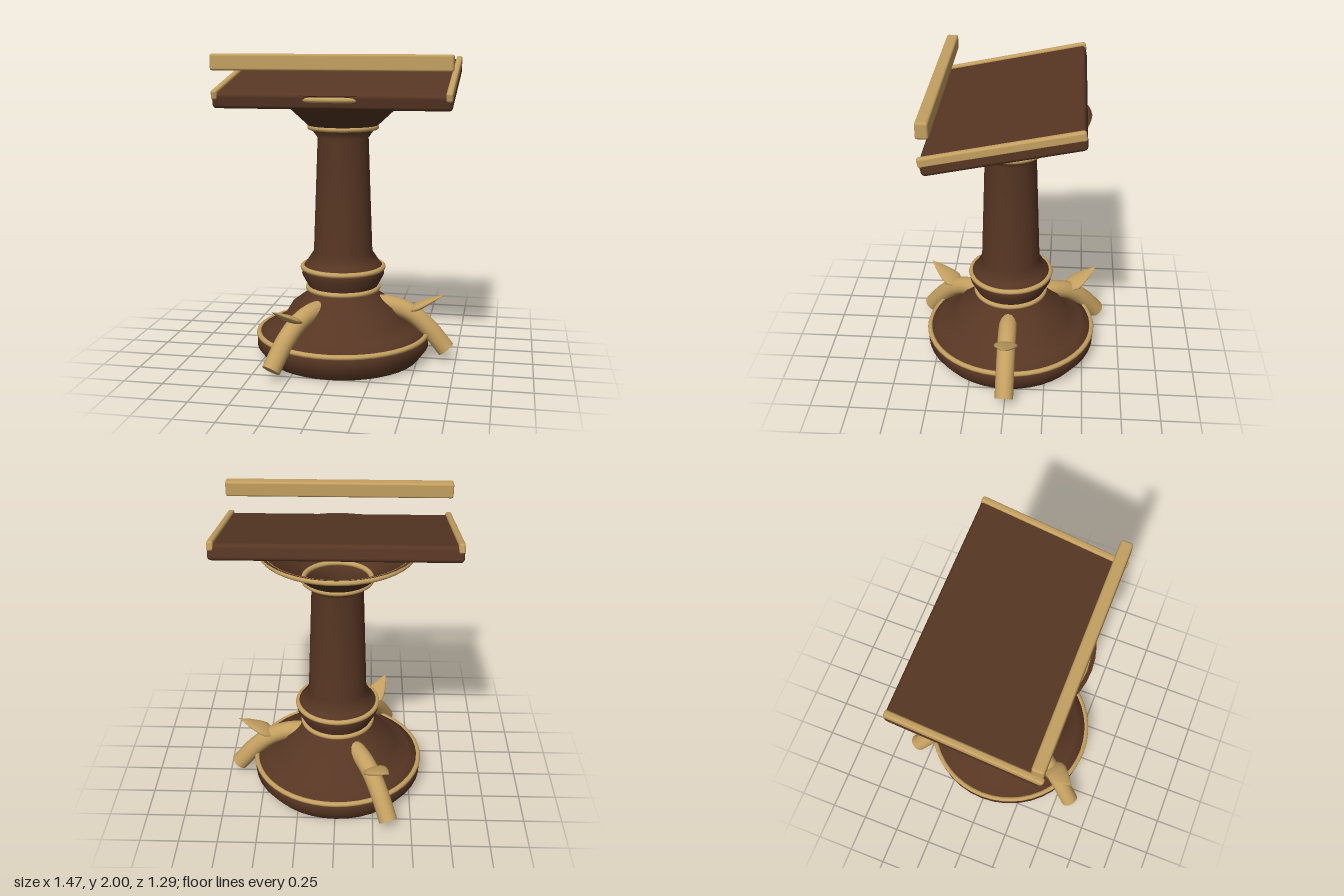
import * as THREE from 'three';
import { RoundedBoxGeometry } from 'three/addons/geometries/RoundedBoxGeometry.js';

export function createModel() {
  const model = new THREE.Group();
  const darkWood = new THREE.MeshStandardMaterial({ color: 0x573623, side: THREE.DoubleSide });
  const paleGold = new THREE.MeshStandardMaterial({ color: 0xc4a060 });

  const add = (parent, name, geometry, material, x = 0, y = 0, z = 0) => {
    const mesh = new THREE.Mesh(geometry, material);
    mesh.name = name;
    mesh.position.set(x, y, z);
    parent.add(mesh);
    return mesh;
  };
  const profile = (pairs) => pairs.map(([r, y]) => new THREE.Vector2(r, y));

  // Hollow turned pedestal, open at the foot and at the cup
  const pedestal = new THREE.Group();
  pedestal.name = 'pedestal';
  pedestal.position.x = -0.005;
  model.add(pedestal);
  const column = profile([
    [0.51, 0], [0.57, 0.08], [0.57, 0.165], [0.49, 0.205], [0.4, 0.25], [0.34, 0.35], [0.22, 0.44],
    [0.23, 0.48], [0.272, 0.56], [0.265, 0.61], [0.24, 0.64], [0.193, 0.71], [0.165, 1.46],
    [0.215, 1.53], [0.355, 1.66], [0.45, 1.738], [0.5, 1.755],
  ]);
  add(pedestal, 'column', new THREE.LatheGeometry(column, 40), darkWood);

  // Gold bands: radius, height
  for (const [r, y] of [[0.56, 0.165], [0.232, 0.465], [0.265, 0.605], [0.215, 1.528], [0.475, 1.73]]) {
    const band = add(pedestal, 'band', new THREE.TorusGeometry(r, 0.017, 10, 48), paleGold, 0, y, 0);
    band.rotation.x = Math.PI / 2;
  }

  // Three curved feet, each with a flattened claw
  const footPath = new THREE.CatmullRomCurve3([
    [0.22, 0.36], [0.34, 0.352], [0.46, 0.305], [0.57, 0.215], [0.69, 0.07],
  ].map(([x, y]) => new THREE.Vector3(x, y, 0)));
  const footGeometry = new THREE.TubeGeometry(footPath, 16, 0.06, 16);
  const clawGeometry = new THREE.LatheGeometry(profile([
    [0, 0], [0.05, 0.03], [0.078, 0.08], [0.074, 0.12], [0.045, 0.2], [0, 0.285],
  ]), 16);
  clawGeometry.scale(0.3, 1, 1);
  const endDirection = footPath.getTangent(1);
  for (let i = 0; i < 3; i++) {
    const foot = new THREE.Group();
    foot.name = 'foot';
    foot.rotation.y = (i * Math.PI * 2) / 3;
    pedestal.add(foot);
    add(foot, 'footCurve', footGeometry, paleGold);
    const cap = add(foot, 'footEnd', new THREE.CircleGeometry(0.06, 16), paleGold, 0.69, 0.07, 0);
    cap.quaternion.setFromUnitVectors(new THREE.Vector3(0, 0, 1), endDirection);
    const claw = add(foot, 'claw', clawGeometry, paleGold, 0.425, 0.315, 0);
    claw.rotation.z = -1.1;
  }

  // Sloping reading board with side trims
  const desk = new THREE.Group();
  desk.name = 'desk';
  desk.position.set(-0.005, 1.811, 0);
  desk.rotation.x = 0.205;
  model.add(desk);
  add(desk, 'board', new RoundedBoxGeometry(1.46, 0.1, 0.94, 3, 0.025), darkWood);
  for (const side of [-1, 1]) {
    add(desk, 'sideTrim', new RoundedBoxGeometry(0.04, 0.06, 0.95, 3, 0.014), paleGold, side * 0.711, 0.037, 0);
  }

  // Front rail floating above the lower edge
  add(model, 'frontRail', new RoundedBoxGeometry(1.465, 0.1, 0.075, 3, 0.014), paleGold, -0.005, 1.95, 0.438);

  return model;
}
